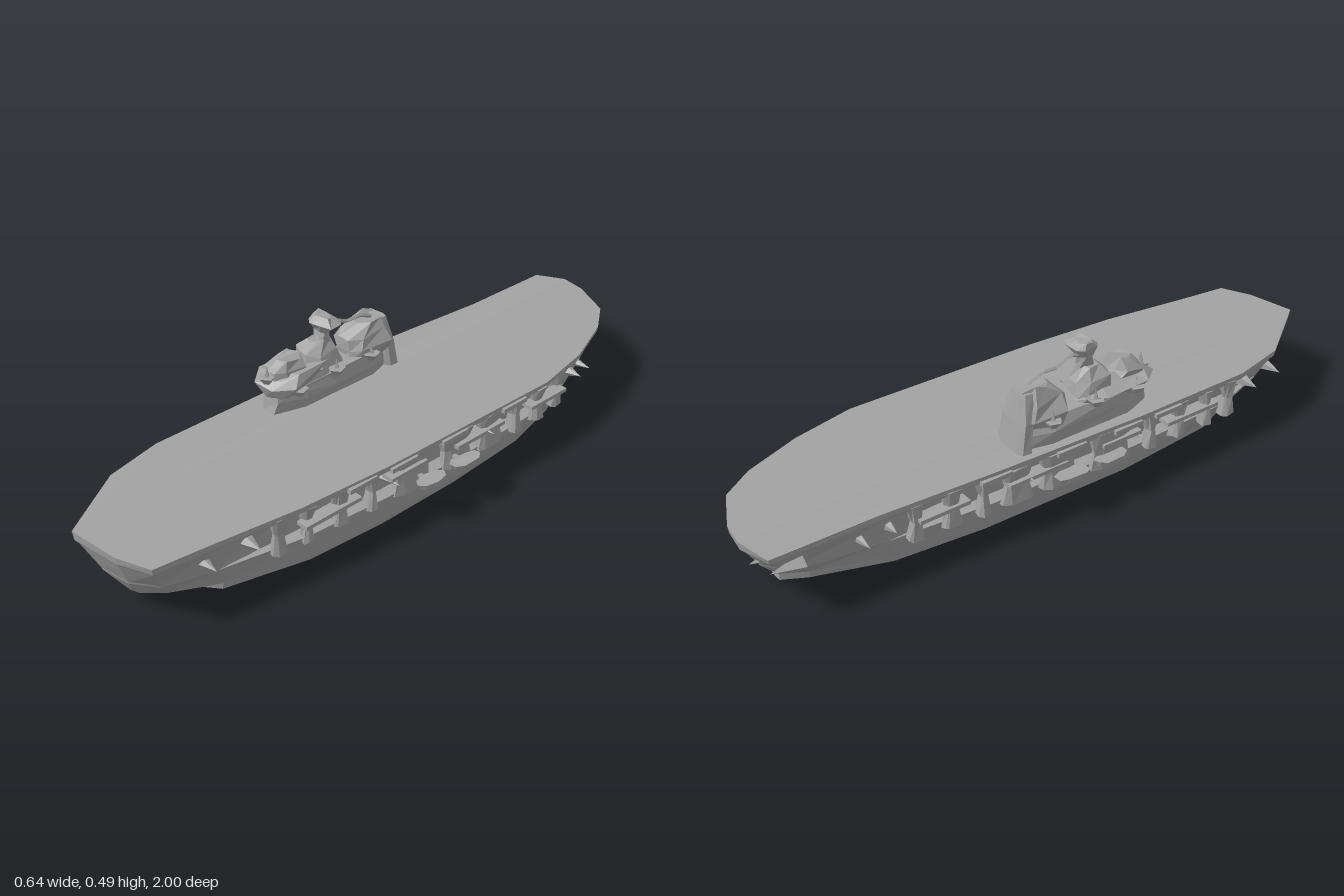
import * as THREE from 'three';

const grey = new THREE.MeshStandardMaterial({ color: 0xa2a2a2, flatShading: true });
grey.name = 'ship grey';

// Deck outline and keel outline (x, z), counter-clockwise seen from above
const deck = [[-.09, 1], [.07, .98], [.17, .94], [.19, .78], [.23, .5], [.25, .2], [.255, -.1], [.26, -.45],
  [.22, -.65], [.15, -.83], [.08, -.93], [-.05, -.99], [-.13, -1], [-.23, -.97], [-.235, -.65], [-.26, -.3],
  [-.28, .2], [-.28, .6], [-.24, .78]];
const keel = [[-.01, .9], [.02, .89], [.06, .83], [.13, .7], [.2, .45], [.22, .2], [.22, -.1], [.2, -.4],
  [.15, -.6], [.08, -.76], [.03, -.84], [-.02, -.87], [-.06, -.87], [-.1, -.8], [-.18, -.58], [-.21, -.3],
  [-.22, .2], [-.19, .55], [-.12, .74]];

// Closed skin through rings listed from top to bottom
function loft(rings) {
  const pos = [], n = rings[0].length;
  const tri = (...p) => p.forEach(v => pos.push(...v));
  for (let r = 0; r < rings.length - 1; r++) for (let i = 0; i < n; i++) {
    const j = (i + 1) % n, [a, b, c, d] = [rings[r][i], rings[r][j], rings[r + 1][j], rings[r + 1][i]];
    tri(d, c, b); tri(d, b, a);
  }
  const last = rings[rings.length - 1];
  for (let i = 1; i < n - 1; i++) {
    tri(rings[0][0], rings[0][i], rings[0][i + 1]);
    tri(last[0], last[i + 1], last[i]);
  }
  const g = new THREE.BufferGeometry();
  g.setAttribute('position', new THREE.Float32BufferAttribute(pos, 3));
  g.computeVertexNormals();
  return g;
}

// Small seeded variation for the faceted superstructure
let seed = 7;
const jitter = s => ((seed = (seed * 16807) % 2147483647) / 2147483647 - .5) * s;

// Chamfered block from levels [y, x0, x1, z0, z1], top first
function block(levels, rough = .018) {
  return loft(levels.map(([y, x0, x1, z0, z1]) => {
    const cx = (x1 - x0) * .25, cz = (z1 - z0) * .2;
    return [[x0 + cx, z1], [x1 - cx, z1], [x1, z1 - cz], [x1, z0 + cz], [x1 - cx, z0], [x0 + cx, z0], [x0, z0 + cz], [x0, z1 - cz]]
      .map(([x, z]) => [x + jitter(rough), y + jitter(rough), z + jitter(rough)]);
  }));
}

// Deck edge x on one side at a given z
function edgeX(side, z) {
  for (let i = 0; i < deck.length; i++) {
    const a = deck[i], b = deck[(i + 1) % deck.length];
    if (side * (a[1] - b[1]) > 0 && (a[1] - z) * (b[1] - z) <= 0)
      return a[0] + (b[0] - a[0]) * (z - a[1]) / (b[1] - a[1]);
  }
  return side * .25;
}

export function createModel() {
  const ship = new THREE.Group();
  ship.name = 'aircraftCarrier';
  const add = (name, geo, x = 0, y = 0, z = 0, parent = ship) => {
    const m = new THREE.Mesh(geo, grey);
    m.name = name;
    m.position.set(x, y, z);
    parent.add(m);
    return m;
  };
  const box = (w, h, d) => new THREE.BoxGeometry(w, h, d);

  // Hull with flight deck, gallery recess and flat bottom
  const deckY = (x, z) => (x < -.2 ? .232 : .241 - (x + .1) * .035) - (z < -.5 ? .003 : 0);
  const ring = (y, t, inset = 0) => deck.map(([x, z], i) => {
    const k = keel[i], mid = Math.abs(z) < .62 ? inset : 0;
    const px = x + (k[0] - x) * t;
    return [px - Math.sign(px) * mid, y ?? deckY(x, z), z + (k[1] - z) * t];
  });
  const bottom = ring(0, 1).map(([x, y, z]) => [x, z > .85 ? .04 : .03, z]);
  const flat = ring(.008, 1).map(([x, y, z]) => [x * .96, y, z > .7 ? .7 + (z - .7) * .4 : z]);
  add('hull', loft([ring(null, 0), ring(.212, .03), ring(.2, .12, .04), ring(.12, .48, .035),
    ring(.112, .5), bottom, flat]));

  // Gallery pillars, side panels and walkways along both sides
  for (const s of [1, -1]) {
    const side = new THREE.Group();
    side.name = s > 0 ? 'leftGallery' : 'rightGallery';
    ship.add(side);
    const pillars = [[.56, .03], [.47, .02], [.36, .03], [.25, .02], [.1, .12], [-.08, .1], [-.22, .08], [-.33, .02], [-.43, .03], [-.54, .03]];
    for (const [z, d] of pillars) {
      const p = add('pillar', block([[.216, -.045, .0, -d / 2 - .015, d / 2 + .015], [.16, -.04, -.012, -d / 2, d / 2],
        [.1, -.045, -.005, -d / 2 - .01, d / 2 + .01]], .008), edgeX(s, z), 0, z, side);
      if (s < 0) p.position.x += .045;
    }
    for (const [z, d, y] of [[.4, .2, .165], [.13, .14, .18], [-.16, .2, .17], [-.46, .16, .165]])
      add('walkway', box(.04, .012, d), edgeX(s, z) - s * .014, y, z, side);
    for (const z of [.3, .15, -.05, -.3])
      add('catwalk', box(.018, .014, .1), edgeX(s, z), .213, z, side);

    // Pointed gun mounts
    for (const [z, y, r] of [[.78, .165, .022], [.65, .172, .026], [.19, .17, .016], [-.19, .17, .016], [-.62, .175, .026], [-.7, .16, .018]]) {
      const g = add('gunMount', new THREE.ConeGeometry(r, .075, 5), edgeX(s, z) - s * .01, y, z, side);
      g.rotation.z = -s * Math.PI / 2;
    }

    // Outrigged platforms
    for (const z of [-.06, .08]) {
      const geo = s > 0 && z > 0 ? new THREE.CylinderGeometry(.03, .025, .018, 8).scale(1, 1, 1.8)
        : block([[.009, -.026, .026, -.052, .052], [-.009, -.022, .022, -.045, .045]], .006);
      const p = add('sidePlatform', geo, s * .291, .141, z, side);
      p.rotation.z = s * .1;
      add('platformStrut', box(.07, .008, .014), s * .25, .137, z, side);
    }
  }

  // Island: base, bridge, funnel, mast
  const island = new THREE.Group();
  island.name = 'island';
  ship.add(island);
  const part = (name, levels, rough) => add(name, block(levels, rough), 0, 0, 0, island);
  part('islandBase', [[.31, -.235, -.13, -.17, .25], [.27, -.245, -.125, -.18, .26], [.225, -.245, -.13, -.19, .27]], .01);
  part('bridge', [[.35, -.235, -.14, .04, .25], [.33, -.26, -.125, .03, .275], [.29, -.235, -.13, .02, .25]], .03);
  part('bridgeTop', [[.395, -.21, -.16, .17, .22], [.36, -.235, -.14, .15, .25], [.33, -.23, -.15, .13, .25]], .02);
  part('mastBase', [[.41, -.205, -.15, .05, .1], [.37, -.235, -.135, .02, .13], [.33, -.245, -.13, .01, .14]], .02);
  part('mastHead', [[.482, -.205, -.14, .045, .08], [.462, -.205, -.118, .03, .1], [.435, -.2, -.155, .05, .085], [.4, -.195, -.155, .05, .09]], .01);
  part('funnel', [[.41, -.215, -.145, -.16, -.07], [.37, -.235, -.135, -.175, -.03], [.33, -.25, -.12, -.18, -.02], [.29, -.235, -.13, -.185, -.03]], .02);
  part('rearWall', [[.4, -.215, -.15, -.175, -.14], [.32, -.235, -.13, -.19, -.15], [.23, -.245, -.125, -.205, -.16]], .006);
  const arch = new THREE.CatmullRomCurve3([[.43, .06], [.445, .02], [.425, -.03], [.425, -.08], [.405, -.13]]
    .map(([y, z]) => new THREE.Vector3(-.175, y, z)));
  add('mastStay', new THREE.TubeGeometry(arch, 10, .006, 4), 0, 0, 0, island);

  // Small platforms and gun tubs around the island
  for (const [x, y, z] of [[-.125, .3, .2], [-.12, .315, .06], [-.12, .31, -.08], [-.25, .31, .2], [-.25, .32, .05], [-.25, .305, -.1], [-.19, .34, .265]]) {
    add('islandPlatform', new THREE.CylinderGeometry(.028, .012, .022, 5), x, y, z, island);
    add('islandGun', new THREE.ConeGeometry(.01, .04, 4), x, y + .025, z, island);
  }

  // Stern fittings and rudder
  add('rudder', box(.014, .05, .03), .02, .025, -.85);
  for (const [x, y, z] of [[-.12, .15, -.93], [-.2, .16, -.91], [.03, .14, -.9]]) {
    const g = add('sternMount', new THREE.ConeGeometry(.03, .09, 4), x, y, z);
    g.rotation.x = -Math.PI / 2;
  }
  return ship;
}
